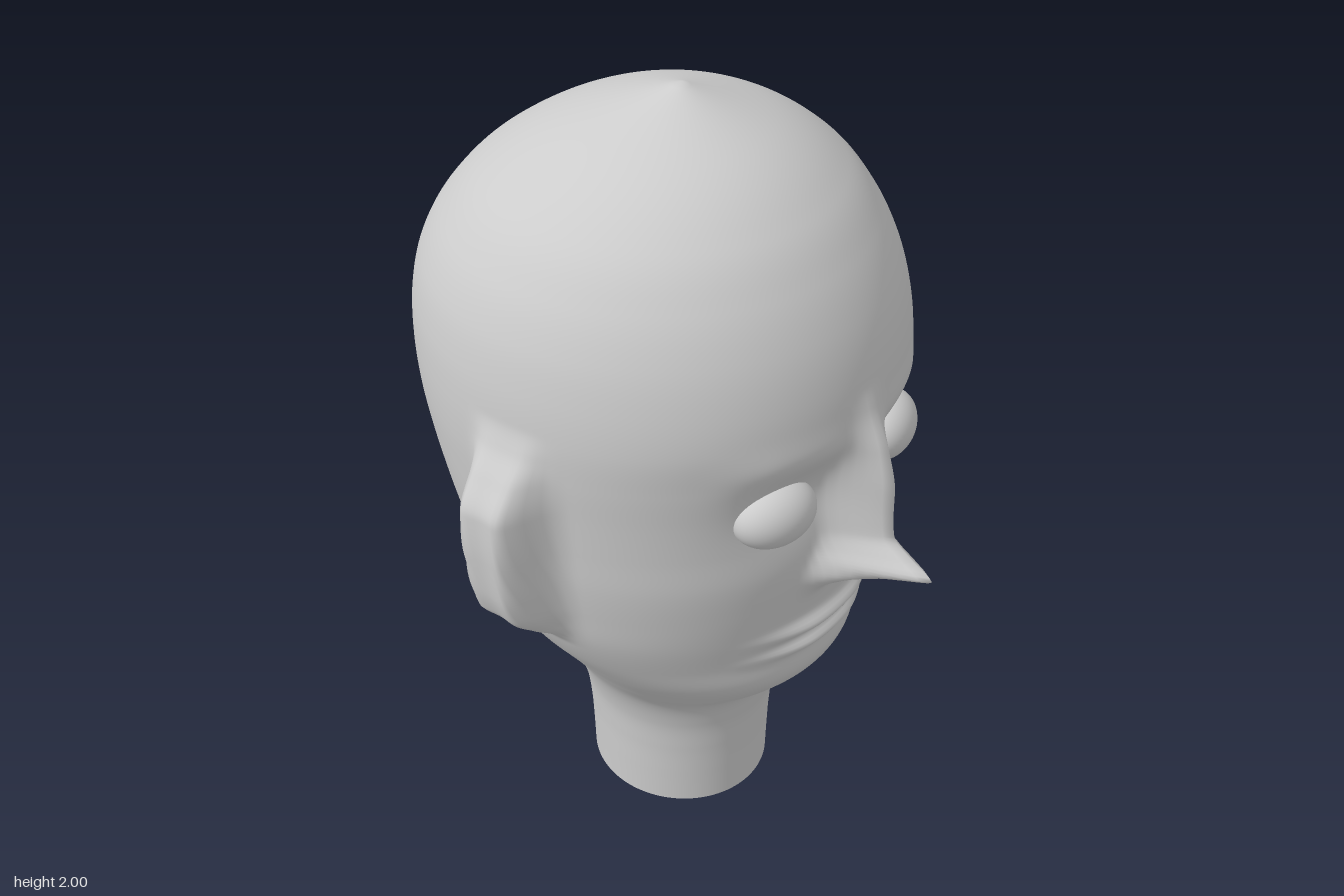
import * as THREE from 'three';

// Head outline: height, half width, front z, back z
const OUTLINE = [
  [0, 0.23, 0.185, -0.30], [0.1, 0.232, 0.188, -0.302], [0.2, 0.235, 0.193, -0.307],
  [0.3, 0.245, 0.204, -0.32], [0.4, 0.277, 0.237, -0.345], [0.5, 0.335, 0.333, -0.39],
  [0.6, 0.40, 0.402, -0.435], [0.7, 0.465, 0.405, -0.475], [0.8, 0.51, 0.42, -0.515],
  [0.9, 0.533, 0.437, -0.553], [1.0, 0.55, 0.45, -0.59], [1.1, 0.56, 0.452, -0.622],
  [1.2, 0.567, 0.46, -0.652], [1.3, 0.572, 0.473, -0.675], [1.4, 0.57, 0.485, -0.687],
  [1.5, 0.558, 0.473, -0.683], [1.6, 0.532, 0.443, -0.655], [1.7, 0.483, 0.393, -0.593],
  [1.8, 0.40, 0.318, -0.49], [1.9, 0.25, 0.19, -0.32], [2.0, 0, -0.04, -0.04],
];
// Feature profiles as [position, amount]
const NOSE_RISE = [[0.87, 0], [0.9, 0.012], [0.94, 0.075], [0.97, 0.165], [1.0, 0.237],
  [1.03, 0.185], [1.07, 0.13], [1.12, 0.122], [1.2, 0.115], [1.3, 0.075], [1.4, 0.015], [1.46, 0]];
const NOSE_WIDTH = [[0.87, 0.15], [0.95, 0.14], [1.0, 0.125], [1.08, 0.1], [1.3, 0.09], [1.46, 0.07]];
const EAR_RISE = [[0.77, 0], [0.81, 0.015], [0.86, 0.06], [0.93, 0.112], [1.0, 0.12],
  [1.1, 0.121], [1.22, 0.112], [1.3, 0.062], [1.36, 0.018], [1.42, 0]];
const EAR_DEPTH = [[-0.19, 0], [-0.155, 0.13], [-0.1, 1], [-0.05, 0.94], [0, 1], [0.05, 0.13], [0.085, 0]];

// Smooth monotone lookup, clamped at both ends
function lookup(table, t) {
  const last = table.length - 1;
  if (t <= table[0][0]) return table[0][1];
  if (t >= table[last][0]) return table[last][1];
  const chord = (i) => (i < 0 || i >= last ? 0 : (table[i + 1][1] - table[i][1]) / (table[i + 1][0] - table[i][0]));
  const slope = (i) => {
    const a = chord(i - 1), b = chord(i);
    return a * b > 0 ? 2 * a * b / (a + b) : 0;
  };
  let i = 0;
  while (t > table[i + 1][0]) i++;
  const [t0, v0] = table[i], [t1, v1] = table[i + 1];
  const h = t1 - t0, s = (t - t0) / h, r = 1 - s;
  return v0 * (1 + 2 * s) * r * r + slope(i) * h * s * r * r + v1 * s * s * (3 - 2 * s) - slope(i + 1) * h * s * s * r;
}

// Smooth interpolation of the outline rows
function outlineAt(u) {
  const last = OUTLINE.length - 1;
  const i = Math.min(Math.floor(u), last - 1), t = u - i;
  const a = OUTLINE[Math.max(i - 1, 0)], b = OUTLINE[i], c = OUTLINE[i + 1], d = OUTLINE[Math.min(i + 2, last)];
  return b.map((p, k) => {
    const m0 = (c[k] - a[k]) / 2, m1 = i + 2 > last ? c[k] - p : (d[k] - p) / 2;
    const t2 = t * t, t3 = t2 * t;
    return (2 * t3 - 3 * t2 + 1) * p + (t3 - 2 * t2 + t) * m0 + (3 * t2 - 2 * t3) * c[k] + (t3 - t2) * m1;
  });
}

const bell = (t, centre, width) => Math.exp(-(((t - centre) / width) ** 2));

// Forward push of the face at a point
function faceRise(x, y) {
  const ax = Math.abs(x);
  const n = Math.max(0, 1 - ax / lookup(NOSE_WIDTH, y));
  const nose = lookup(NOSE_RISE, y) * (0.4 * n * n + 0.6 * n * n * (3 - 2 * n));
  const nostrils = 0.025 * bell(ax, 0.08, 0.045) * bell(y, 0.955, 0.045);
  const browSpan = THREE.MathUtils.smoothstep(ax, 0.01, 0.1) * (1 - THREE.MathUtils.smoothstep(ax, 0.24, 0.4));
  const brow = 0.014 * browSpan * bell(y, 1.335, 0.05);
  const socket = -0.03 * bell(ax, 0.16, 0.12) * bell(y, 1.2, 0.09);
  const lipSpan = 1 - THREE.MathUtils.smoothstep(ax, 0.06, 0.29);
  const lips = lipSpan * (0.027 * bell(y, 0.775, 0.024) + 0.025 * bell(y, 0.708, 0.022));
  return nose + nostrils + brow + socket + lips;
}

// Head and neck skin, lofted ring by ring up to a single crown point
function headGeometry() {
  const around = 224, perStep = 12, rows = (OUTLINE.length - 1) * perStep;
  const positions = [], index = [];
  for (let j = 0; j < rows; j++) {
    const [y, w, front, back] = outlineAt(j / perStep);
    const mid = (front + back) / 2, depth = (front - back) / 2;
    for (let i = 0; i < around; i++) {
      const a = (i / around) * Math.PI * 2;
      let x = Math.sin(a) * w, z = mid + Math.cos(a) * depth;
      const ear = lookup(EAR_RISE, y) * lookup(EAR_DEPTH, z);
      if (Math.cos(a) > 0) z += faceRise(x, y) * Math.min(1, Math.cos(a) * 2);
      x += Math.sign(x) * ear;
      positions.push(x, y, z);
      if (j < rows - 1) {
        const p = j * around + i, q = j * around + (i + 1) % around;
        index.push(p, q, p + around, q, q + around, p + around);
      } else {
        index.push(j * around + i, j * around + (i + 1) % around, rows * around);
      }
    }
  }
  positions.push(0, 2, -0.04);
  const g = new THREE.BufferGeometry();
  g.setAttribute('position', new THREE.Float32BufferAttribute(positions, 3));
  g.setIndex(index);
  g.computeVertexNormals();
  return g;
}

export function createModel() {
  const group = new THREE.Group();
  group.name = 'head';
  const grey = new THREE.MeshStandardMaterial({ color: 0xcccccc });
  grey.name = 'light clay grey';

  const add = (name, geometry) => {
    const mesh = new THREE.Mesh(geometry, grey);
    mesh.name = name;
    group.add(mesh);
    return mesh;
  };

  add('headAndNeck', headGeometry());

  // Flat underside of the neck
  const base = add('neckBase', new THREE.CircleGeometry(1, 96));
  base.rotation.x = Math.PI / 2;
  base.scale.set(0.23, 0.2425, 1);
  base.position.set(0, 0, -0.0575);

  // Eyeballs, turned slightly outward
  for (const side of [1, -1]) {
    const eye = add(side > 0 ? 'leftEye' : 'rightEye', new THREE.SphereGeometry(1, 48, 32));
    eye.scale.set(0.105, 0.08, 0.075);
    eye.position.set(side * 0.212, 1.187, 0.395);
    eye.rotation.y = side * 0.3;
  }
  return group;
}
